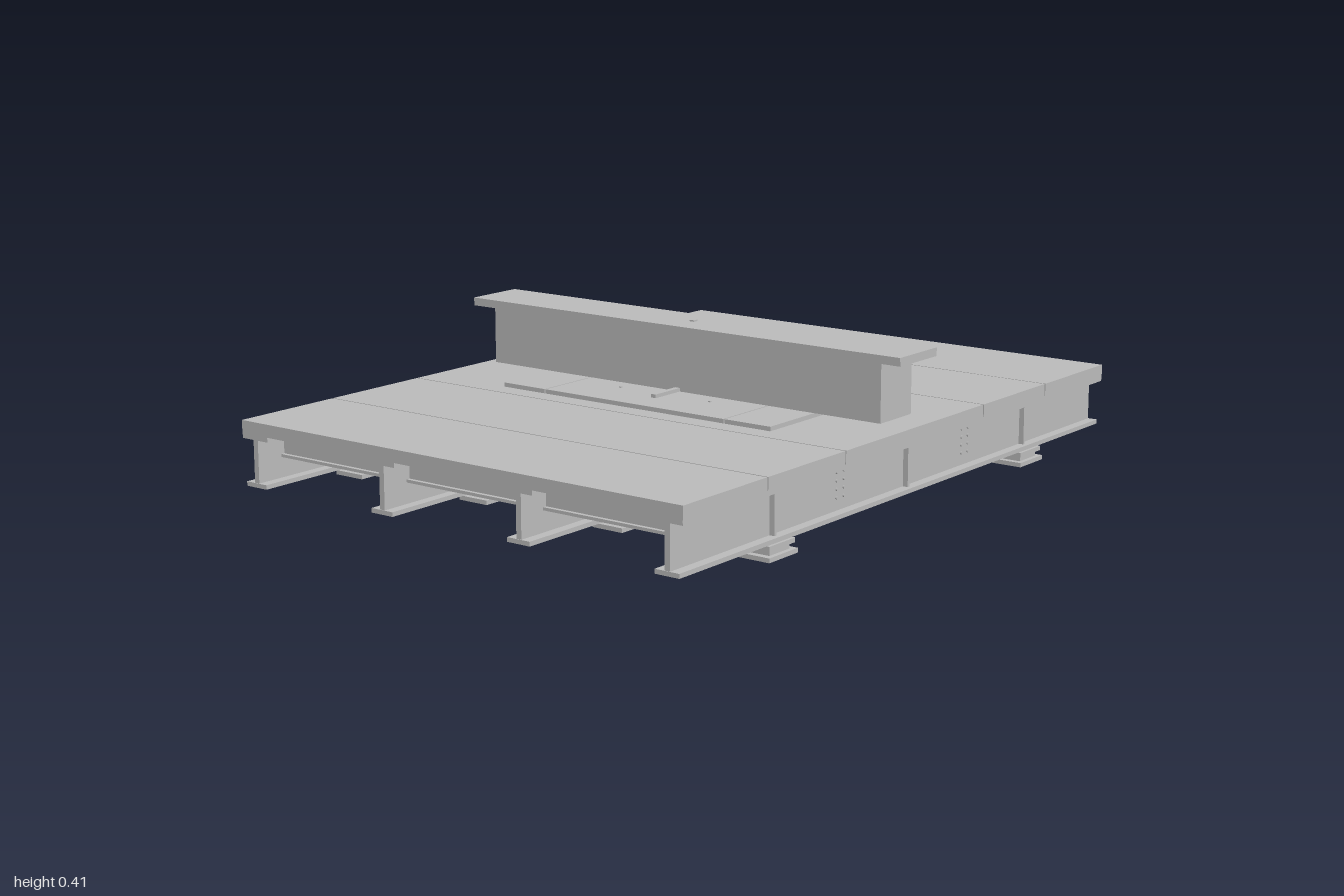
import * as THREE from 'three';

export function createModel() {
  const root = new THREE.Group();
  root.name = 'bridgeSection';
  const steel = new THREE.MeshStandardMaterial({ color: 0xbababa });
  steel.name = 'grey steel';

  // Box given by its min and max on each axis
  function box(parent, name, x0, x1, y0, y1, z0, z1) {
    const mesh = new THREE.Mesh(new THREE.BoxGeometry(x1 - x0, y1 - y0, z1 - z0), steel);
    mesh.name = name;
    mesh.position.set((x0 + x1) / 2, (y0 + y1) / 2, (z0 + z1) / 2);
    parent.add(mesh);
    return mesh;
  }
  // Box centred on (x, z) with half sizes
  const block = (parent, name, x, z, hx, hz, y0, y1) =>
    box(parent, name, x - hx, x + hx, y0, y1, z - hz, z + hz);

  // Deck panels with narrow joints
  const deck = new THREE.Group();
  deck.name = 'deck';
  root.add(deck);
  const joints = [-1, -0.667, -0.333, 0.333, 0.667, 1];
  for (let i = 0; i < 5; i++) {
    const a = joints[i] + (i > 0 ? 0.002 : 0);
    const b = joints[i + 1] - (i < 4 ? 0.002 : 0);
    box(deck, 'deckPanel', a, b, 0.18, 0.215, -0.727, 0.727);
  }

  // Long I-girders with stiffeners, bolts and bearings
  const girderZ = [-0.68, -0.227, 0.227, 0.68];
  const boltGeometry = new THREE.CylinderGeometry(0.004, 0.004, 0.005, 6).rotateX(Math.PI / 2);
  for (const z of girderZ) {
    const girder = new THREE.Group();
    girder.name = 'girder';
    root.add(girder);
    block(girder, 'topFlange', 0, z, 1, 0.046, 0.167, 0.18);
    block(girder, 'web', 0, z, 0.998, 0.008, 0.051, 0.167);
    block(girder, 'bottomFlange', 0, z, 1, 0.036, 0.039, 0.051);
    for (const x of [-0.6, 0, 0.6]) block(girder, 'stiffener', x, z, 0.004, 0.023, 0.051, 0.167);
    for (const x of [-0.6, 0.6]) {
      block(girder, 'bearingBase', x, z, 0.06, 0.048, 0, 0.012);
      block(girder, 'bearingPad', x, z, 0.042, 0.035, 0.012, 0.027);
      block(girder, 'bearingTop', x, z, 0.054, 0.044, 0.027, 0.039);
    }
    // Bolt groups where the cross beams meet the web
    for (const x of [-0.3, 0.3])
      for (const dx of [-0.016, 0.016])
        for (const y of [0.085, 0.107, 0.129, 0.151])
          for (const side of [-1, 1]) {
            const bolt = new THREE.Mesh(boltGeometry, steel);
            bolt.name = 'bolt';
            bolt.position.set(x + dx, y, z + side * 0.01);
            girder.add(bolt);
          }
  }

  // Cross beams between neighbouring girders
  for (let i = 0; i < 3; i++)
    for (const x of [-0.9, -0.3, 0.3, 0.9]) {
      const beam = new THREE.Group();
      beam.name = 'crossBeam';
      root.add(beam);
      const z0 = girderZ[i] + 0.008, z1 = girderZ[i + 1] - 0.008;
      box(beam, 'crossWeb', x - 0.005, x + 0.005, 0.107, 0.165, z0, z1);
      box(beam, 'crossTopFlange', x - 0.016, x + 0.016, 0.157, 0.165, z0, z1);
      box(beam, 'crossBottomFlange', x - 0.016, x + 0.016, 0.107, 0.115, z0, z1);
    }

  // Bedding plates on the deck, in three lengths
  const cuts = [-0.453, -0.305, 0.305, 0.453];
  for (let i = 0; i < 3; i++)
    box(root, 'beddingPlate', -0.272, 0.272, 0.215, 0.227,
      cuts[i] + (i > 0 ? 0.002 : 0), cuts[i + 1] - (i < 2 ? 0.002 : 0));
  block(root, 'locatingBar', 0, 0, 0.18, 0.008, 0.227, 0.237);
  for (const x of [-0.13, 0.13])
    for (const z of [-0.153, 0.153]) block(root, 'platePin', x, z, 0.003, 0.003, 0.227, 0.23);

  // Raised box beam with its cap plates
  const upper = new THREE.Group();
  upper.name = 'upperBeam';
  root.add(upper);
  block(upper, 'beamBody', 0, 0, 0.073, 0.66, 0.227, 0.39);
  block(upper, 'beamLowerCap', 0, 0, 0.087, 0.727, 0.388, 0.401);
  block(upper, 'beamUpperCap', 0, 0, 0.089, 0.727, 0.401, 0.411);
  block(upper, 'beamPin', 0, 0, 0.008, 0.008, 0.411, 0.415);

  return root;
}
